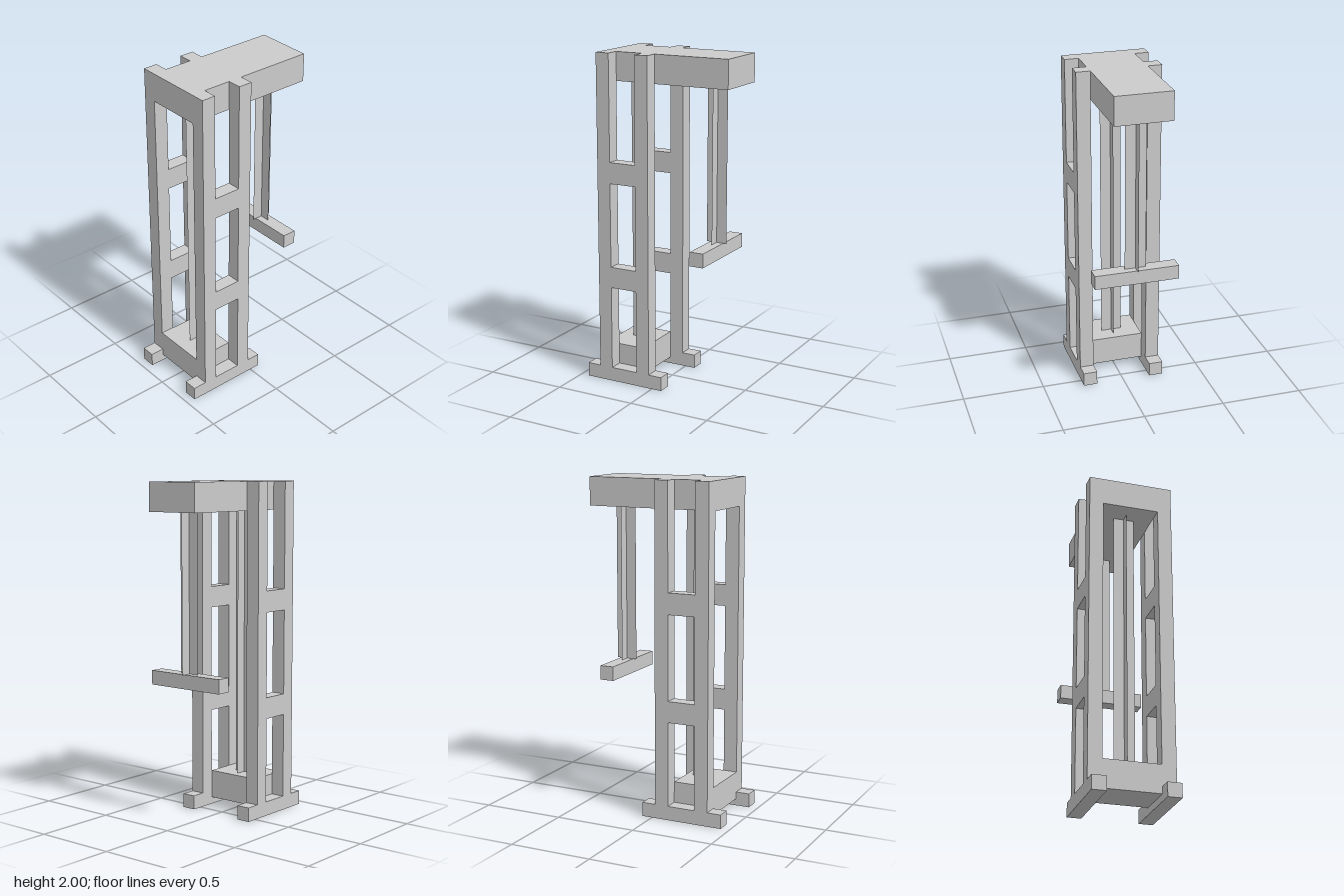
import * as THREE from 'three';

const U = 2 / 47; // one grid unit; all sizes below are in these units

export function createModel() {
  const model = new THREE.Group();
  const solid = new THREE.MeshStandardMaterial({ color: 0xcccccc, flatShading: true });
  const sheet = new THREE.MeshStandardMaterial({ color: 0xcccccc, side: THREE.DoubleSide });

  const add = (name, geometry, material = solid) => {
    const mesh = new THREE.Mesh(geometry, material);
    mesh.name = name;
    model.add(mesh);
    return mesh;
  };

  // Box from its lower and upper corners
  const box = (name, [x0, y0, z0], [x1, y1, z1]) =>
    add(name, new THREE.BoxGeometry(x1 - x0, y1 - y0, z1 - z0))
      .position.set((x0 + x1) / 2, (y0 + y1) / 2, (z0 + z1) / 2);

  // Side frame profile (z, y): foot, two posts open at the top, two rungs
  const points = (list) => list.map(([a, b]) => new THREE.Vector2(a, b));
  const profile = new THREE.Shape(points([
    [-1.5, 0], [10.5, 0], [10.5, 2], [8.5, 2], [8.5, 47], [6.5, 47],
    [6.5, 32], [2.5, 32], [2.5, 47], [0.5, 47], [0.5, 2], [-1.5, 2],
  ]));
  for (const [low, high] of [[2, 14], [17, 29]]) {
    profile.holes.push(new THREE.Path(points([[2.5, low], [2.5, high], [6.5, high], [6.5, low]])));
  }
  const frame = new THREE.ExtrudeGeometry(profile, { depth: 2, bevelEnabled: false });
  frame.rotateY(-Math.PI / 2).translate(1, 0, 0);
  add('leftSideFrame', frame).position.x = 5;
  add('rightSideFrame', frame).position.x = -5;

  // Beams joining the two frames
  box('topBeam', [-4, 43, -10.5], [4, 47, 8.5]);
  box('baseBlock', [-4, 1, 2.5], [4, 5, 8.5]);
  box('hangingBar', [-6, 19, -8], [6, 21, -6]);

  // Chains: two thin crossed sheets each
  const chain = (name, z, low, high) => {
    for (const turn of [0, Math.PI / 2]) {
      const mesh = add(name, new THREE.PlaneGeometry(3, high - low), sheet);
      mesh.position.set(0, (low + high) / 2, z);
      mesh.rotation.y = turn;
    }
  };
  chain('innerChain', 5, 5, 43);
  chain('hangingChain', -7, 21, 43);

  model.scale.setScalar(U);
  return model;
}
